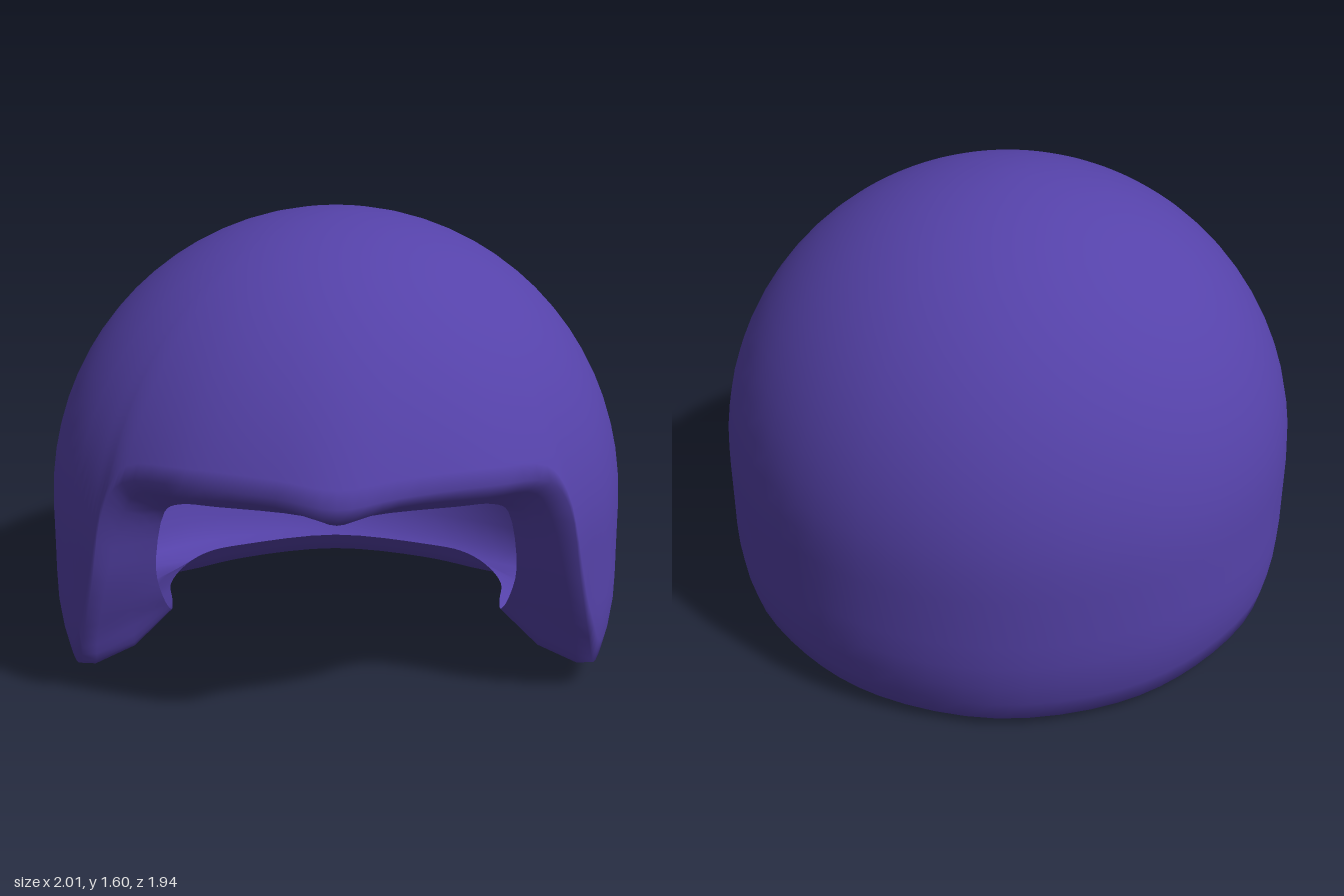
import * as THREE from 'three';
import { mergeVertices } from 'three/addons/utils/BufferGeometryUtils.js';

const DEPTH = 0.975; // dome is slightly shallower than wide
const MID = 0.6;     // height where the dome meets the straight wall
const SUB = 4;       // columns between two rim keys
const ROWS = 24;

// Half of the opening from the brow centre, round the left side, to the nape:
// outer edge, bevel and inner edge of the rolled rim.
const RIM = [
  [[0, 0.90, 0.97], [0, 0.85, 0.95], [0, 0.76, 0.755]],
  [[0.18, 0.92, 0.93], [0.18, 0.88, 0.90], [0.10, 0.79, 0.75]],
  [[0.46, 0.92, 0.83], [0.45, 0.87, 0.80], [0.37, 0.80, 0.70]],
  [[0.66, 0.88, 0.70], [0.62, 0.83, 0.67], [0.50, 0.76, 0.58]],
  [[0.73, 0.78, 0.66], [0.68, 0.73, 0.63], [0.56, 0.70, 0.50]],
  [[0.79, 0.50, 0.60], [0.75, 0.48, 0.57], [0.61, 0.45, 0.40]],
  [[0.85, 0.24, 0.50], [0.81, 0.23, 0.46], [0.60, 0.27, 0.28]],
  [[0.89, 0.10, 0.41], [0.84, 0.075, 0.37], [0.59, 0.19, 0.18]],
  [[0.95, 0.10, 0.25], [0.89, 0.07, 0.22], [0.60, 0.18, 0.08]],
  [[0.97, 0.10, 0], [0.91, 0.068, 0], [0.62, 0.18, -0.05]],
  [[0.89, 0.09, -0.38], [0.83, 0.065, -0.36], [0.58, 0.18, -0.22]],
  [[0.67, 0.06, -0.65], [0.61, 0.02, -0.61], [0.50, 0.165, -0.38]],
  [[0.40, 0.04, -0.82], [0.36, 0.003, -0.77], [0.38, 0.14, -0.50]],
  [[0, 0.04, -0.91], [0, 0.003, -0.85], [0, 0.14, -0.60]],
];

// Closed, mirrored curve through one edge of the rim
function rimCurve(k) {
  const half = RIM.map(key => new THREE.Vector3(...key[k]));
  const mirrored = half.slice(1, -1).reverse().map(p => new THREE.Vector3(-p.x, p.y, p.z));
  return new THREE.CatmullRomCurve3([...half, ...mirrored], true);
}

// Dome above MID, nearly straight wall tucking in at the bottom
function shellPoint(phi, s) {
  let r = 1, y;
  if (s < Math.PI / 2) {
    r = Math.sin(s);
    y = MID + Math.cos(s);
  } else {
    y = MID - (s - Math.PI / 2);
    const tuck = Math.max(0, (0.35 - y) / 0.32);
    r = 1 - 0.065 * tuck * tuck;
  }
  return new THREE.Vector3(r * Math.sin(phi), y, r * Math.cos(phi) * DEPTH);
}

function shellGeometry() {
  const [outer, bevel, inner] = [0, 1, 2].map(rimCurve);
  const columns = (RIM.length * 2 - 2) * SUB;
  const rows = ROWS + 4;
  const positions = [], index = [];

  for (let i = 0; i < columns; i++) {
    const t = i / columns;
    const edge = outer.getPoint(t), b = bevel.getPoint(t), c = inner.getPoint(t);
    const phi = Math.atan2(edge.x, edge.z / DEPTH);
    const end = edge.y > MID ? Math.acos(edge.y - MID) : Math.PI / 2 + MID - edge.y;
    const flare = edge.clone().sub(shellPoint(phi, end));
    const column = [];
    // Crown to rim, easing into the exact edge
    for (let j = 0; j <= ROWS; j++) {
      const f = j / ROWS;
      column.push(shellPoint(phi, end * f).addScaledVector(flare, f ** 6));
    }
    // Rolled rim: bevel, flat underside, inner edge
    const under = b.clone().lerp(c, 0.5);
    under.y = Math.min(under.y, b.y + 0.02);
    column.push(b, under, under.clone().lerp(c, 0.5), c);
    for (const p of column) positions.push(p.x, Math.max(0, p.y), p.z);
  }

  for (let i = 0; i < columns; i++) {
    for (let j = 0; j < rows; j++) {
      const a = i * (rows + 1) + j;
      const b = ((i + 1) % columns) * (rows + 1) + j;
      if (j > 0) index.push(a, a + 1, b);
      index.push(b, a + 1, b + 1);
    }
  }

  let geometry = new THREE.BufferGeometry();
  geometry.setAttribute('position', new THREE.Float32BufferAttribute(positions, 3));
  geometry.setIndex(index);
  geometry = mergeVertices(geometry, 1e-5);
  geometry.computeVertexNormals();
  return geometry;
}

export function createModel() {
  const purple = new THREE.MeshStandardMaterial({ color: 0x5542a9, side: THREE.DoubleSide });
  purple.name = 'purple';

  const group = new THREE.Group();
  group.name = 'helmet';
  const shell = new THREE.Mesh(shellGeometry(), purple);
  shell.name = 'helmetShell';
  group.add(shell);
  return group;
}
